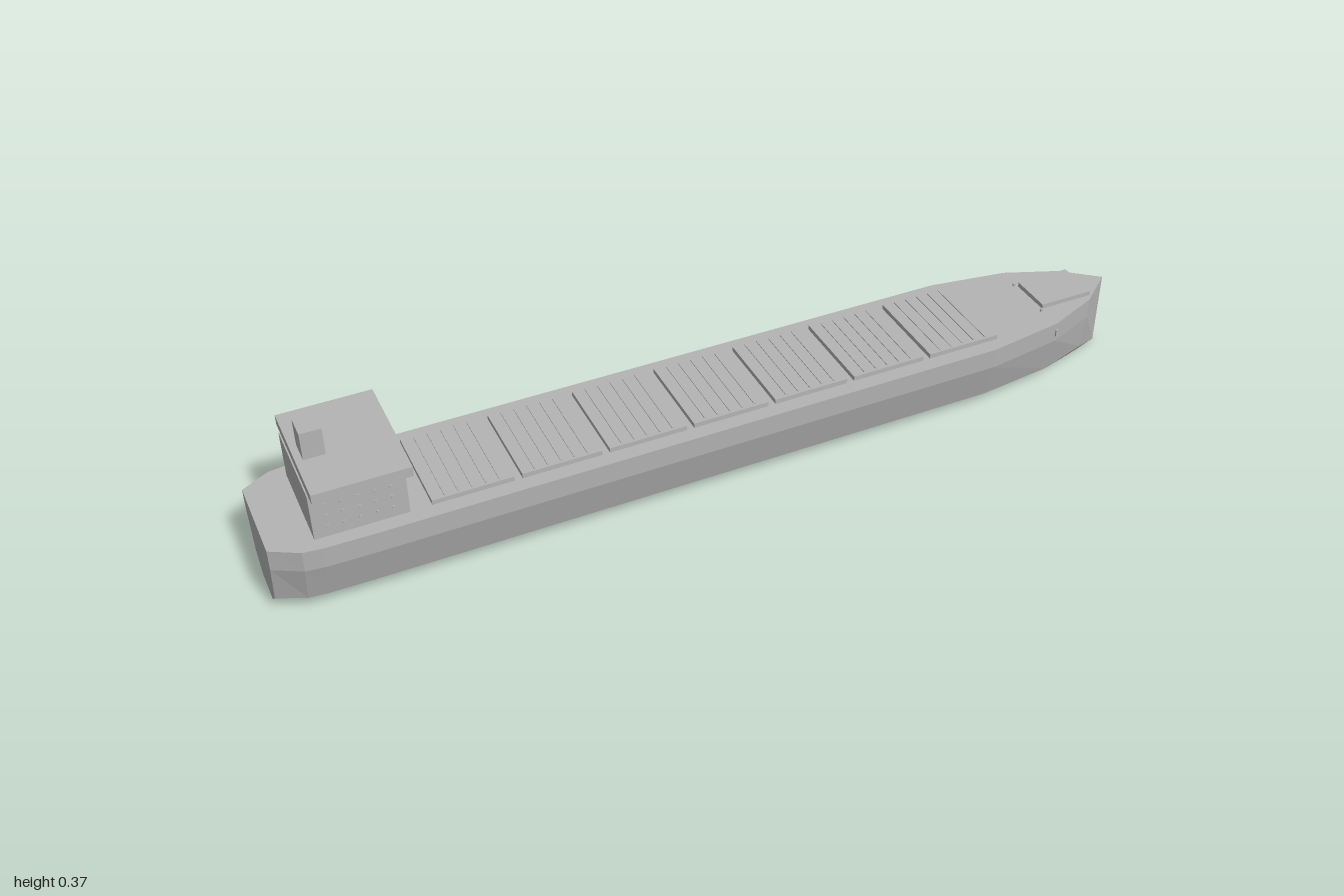
import * as THREE from 'three';

const grey = new THREE.MeshStandardMaterial({ color: 0xb4b4b4 });
grey.name = 'ship grey';

const DECK = 0.178;

// Hull lofted through stations [x, half width at deck], four heights per side
function hullGeometry() {
  const stations = [
    [-1, 0.1], [-0.94, 0.133], [-0.9, 0.138], [-0.8, 0.14],
    [0.62, 0.14], [0.8, 0.113], [0.92, 0.065], [1, 0],
  ];
  const levels = [[DECK, 1], [0.128, 0.985], [0.036, 0.8], [0, 0.4]];
  const positions = [];
  const index = [];
  for (const [x, half] of stations) {
    const side = levels.map(([y, f]) => [half === 0 && y < 0.1 ? 0 : y, half * f]);
    for (const [y, z] of side) positions.push(x, y, z);
    for (const [y, z] of side.reverse()) positions.push(x, y, -z);
  }
  const n = levels.length * 2;
  for (let s = 0; s < stations.length - 1; s++) {
    for (let j = 0; j < n; j++) {
      const k = (j + 1) % n;
      const a = s * n + j, b = s * n + k;
      index.push(a, b, b + n, a, b + n, a + n);
    }
  }
  // transom
  for (let j = 1; j < n - 1; j++) index.push(0, j + 1, j);
  const g = new THREE.BufferGeometry();
  g.setAttribute('position', new THREE.Float32BufferAttribute(positions, 3));
  g.setIndex(index);
  const flat = g.toNonIndexed();
  flat.computeVertexNormals();
  return flat;
}

export function createModel() {
  const ship = new THREE.Group();
  ship.name = 'cargoShip';

  const add = (name, geometry, parent = ship) => {
    const mesh = new THREE.Mesh(geometry, grey);
    mesh.name = name;
    parent.add(mesh);
    return mesh;
  };
  // Box given by its x and y ranges, centred at z
  const box = (name, x0, x1, y0, y1, depth, z = 0, parent = ship) => {
    const m = add(name, new THREE.BoxGeometry(x1 - x0, y1 - y0, depth), parent);
    m.position.set((x0 + x1) / 2, (y0 + y1) / 2, z);
    return m;
  };

  add('hull', hullGeometry());

  // Cargo hatches with thin ribs across their covers
  for (let i = 0; i < 7; i++) {
    const hatch = new THREE.Group();
    hatch.name = 'cargoHatch';
    ship.add(hatch);
    const x = -0.67 + i * 0.19;
    box('hatchCover', x, x + 0.173, DECK - 0.002, 0.189, 0.212, 0, hatch);
    for (let r = 1; r <= 5; r++) {
      const rx = x + (0.173 * r) / 6;
      box('hatchRib', rx - 0.002, rx + 0.002, 0.188, 0.191, 0.2, 0, hatch);
    }
  }

  // Foredeck platform and bollards
  box('foredeckHatch', 0.8, 0.93, DECK - 0.002, 0.189, 0.1);
  for (const side of [1, -1]) {
    box('bollard', 0.79, 0.796, DECK, 0.184, 0.004, side * 0.057);
  }

  // Deckhouse, bridge and funnel at the stern
  box('deckhouse', -0.908, -0.715, DECK - 0.002, 0.288, 0.214);
  box('bridge', -0.905, -0.705, 0.288, 0.311, 0.27);
  box('funnel', -0.89, -0.845, 0.311, 0.374, 0.052);

  // Portholes in three rows on each side of the deckhouse
  for (const side of [1, -1]) {
    for (let row = 0; row < 3; row++) {
      for (let c = 0; c < 5; c++) {
        const x = -0.878 + c * 0.033, y = 0.203 + row * 0.027;
        box('porthole', x - 0.003, x + 0.003, y - 0.003, y + 0.003, 0.004, side * 0.107);
      }
    }
  }

  // Anchors on the bow
  for (const side of [1, -1]) {
    box('anchor', 0.797, 0.803, 0.143, 0.16, 0.006, side * 0.113);
  }

  return ship;
}
